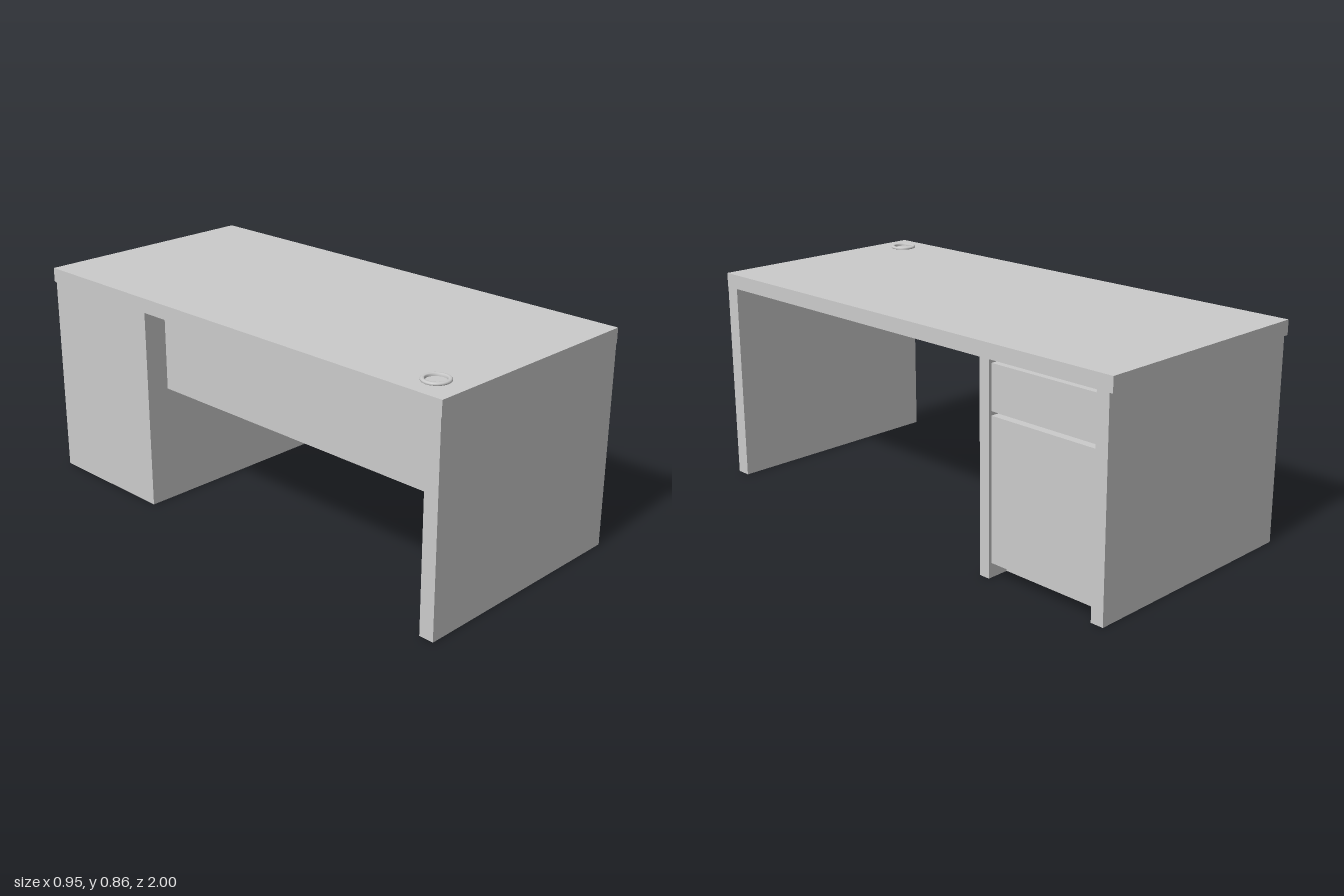
import * as THREE from 'three';

const material = new THREE.MeshStandardMaterial({ color: 0xcccccc, side: THREE.DoubleSide });

// BoxGeometry face order: +x, -x, +y, -y, +z, -z
const RIGHT = 0, BOTTOM = 3;

// Box given by its limits; the listed faces are left open
function addBox(parent, name, [x0, x1], [y0, y1], [z0, z1], open = []) {
  const geometry = new THREE.BoxGeometry(x1 - x0, y1 - y0, z1 - z0);
  const index = Array.from(geometry.index.array);
  geometry.setIndex(index.filter((_, i) => !open.includes(Math.floor(i / 6))));
  geometry.clearGroups();
  const mesh = new THREE.Mesh(geometry, material);
  mesh.name = name;
  mesh.position.set((x0 + x1) / 2, (y0 + y1) / 2, (z0 + z1) / 2);
  parent.add(mesh);
  return mesh;
}

export function createModel() {
  const desk = new THREE.Group();
  desk.name = 'desk';
  const halfWidth = 0.474, underTop = 0.79, topY = 0.846;
  const fullX = [-halfWidth, halfWidth];

  // Worktop, end panel and modesty panel
  addBox(desk, 'worktop', fullX, [underTop, topY], [-1, 1]);
  addBox(desk, 'endPanel', fullX, [0, underTop], [0.94, 0.998], [BOTTOM]);
  addBox(desk, 'modestyPanel', [-0.38, -0.34], [0.463, underTop], [-0.43, 0.94]);

  // Drawer pedestal: hollow carcass, open below and towards the drawers
  const pedestal = new THREE.Group();
  pedestal.name = 'drawerPedestal';
  desk.add(pedestal);
  const outerZ = [-0.987, -0.43], drawerZ = [-0.936, -0.473];
  addBox(pedestal, 'carcass', fullX, [0, underTop], outerZ, [RIGHT, BOTTOM]);
  for (const z of [[outerZ[0], drawerZ[0]], [drawerZ[1], outerZ[1]]]) {
    addBox(pedestal, 'frontPost', [0.385, halfWidth], [0, underTop], z, [BOTTOM]);
  }

  // Drawer fronts, separated by finger grooves
  addBox(pedestal, 'grooveBack', [0.42, 0.43], [0.056, underTop], drawerZ);
  for (const y of [[0.056, 0.592], [0.608, 0.775]]) {
    addBox(pedestal, 'drawerFront', [0.43, 0.462], y, drawerZ);
  }

  // Recessed plinth and the shelf behind it
  addBox(pedestal, 'baseShelf', [0.21, 0.43], [0.056, 0.07], drawerZ);
  addBox(pedestal, 'plinth', [0.38, 0.385], [0, 0.056], drawerZ);

  // Cable grommet: low ring with rounded edges
  const profile = [
    [0.037, 0], [0.037, 0.007], [0.040, 0.010], [0.048, 0.010],
    [0.052, 0.007], [0.052, 0.002], [0.050, 0],
  ].map(([r, y]) => new THREE.Vector2(r, y)).reverse();
  const grommet = new THREE.Mesh(new THREE.LatheGeometry(profile.reverse(), 32), material);
  grommet.name = 'cableGrommet';
  grommet.position.set(-0.36, topY, 0.88);
  desk.add(grommet);

  return desk;
}
